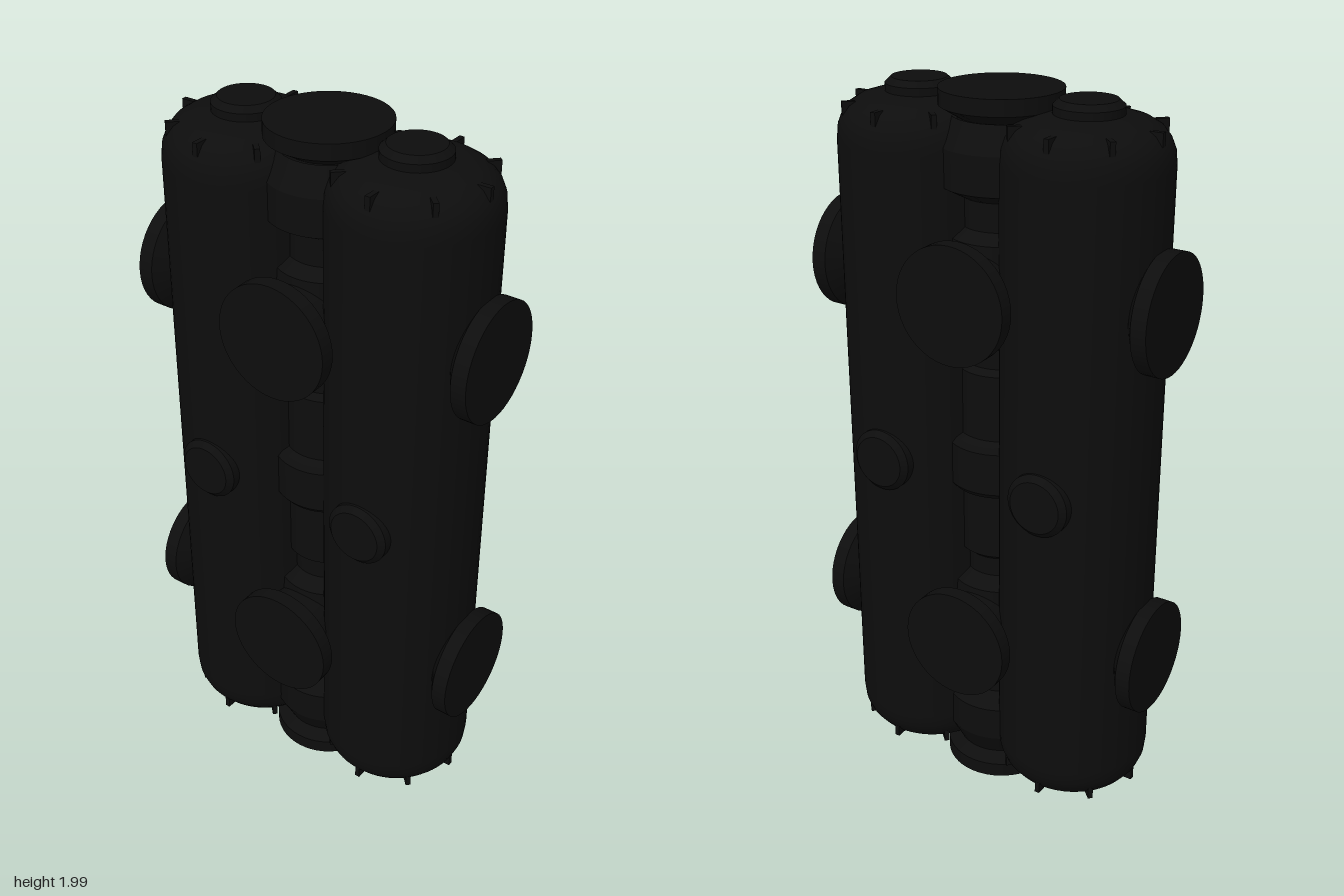
import * as THREE from 'three';

export function createModel() {
  const model = new THREE.Group();
  const black = new THREE.MeshStandardMaterial({ color: 0x0d0d0d });
  black.name = 'matte black';

  // Lathe with hard edges: every profile segment is its own smooth band
  function turned(name, bands, sides = 48) {
    const group = new THREE.Group();
    group.name = name;
    bands.forEach((pts) => {
      const geo = new THREE.LatheGeometry(pts.map(([r, y]) => new THREE.Vector2(r, y)), sides);
      const mesh = new THREE.Mesh(geo, black);
      mesh.name = name + 'Surface';
      group.add(mesh);
    });
    model.add(group);
    return group;
  }
  const segments = (pts) => pts.slice(1).map((p, i) => [pts[i], p]);

  // Aim a turned part's +y axis along a direction
  function place(part, position, direction) {
    part.position.set(...position);
    part.quaternion.setFromUnitVectors(new THREE.Vector3(0, 1, 0), new THREE.Vector3(...direction));
  }

  const mid = 1.003, hubs = [0.505, 1.502];
  const tankX = 0.246;

  // Docking port: flared collar and flat face, origin at the outer face
  const portProfile = segments([[0.11, -0.16], [0.112, -0.07], [0.158, -0.042], [0.158, 0], [0, 0]]);
  // Small hatch: chamfered disc
  const hatchProfile = segments([[0.088, -0.06], [0.088, -0.015], [0.072, 0], [0, 0]]);

  // Rounded end of a tank, as radius and distance from the middle
  const dome = [[0.215, 0.84], [0.211, 0.878], [0.2, 0.905], [0.182, 0.928],
    [0.155, 0.945], [0.12, 0.956], [0.06, 0.963], [0, 0.965]];

  for (const side of [-1, 1]) {
    const x = side * tankX;

    // Main pressure tank
    const lower = dome.map(([r, y]) => [r, -y]).reverse();
    const tank = turned('tank', [[...lower, ...dome]], 64);
    tank.position.set(x, mid, 0);

    // Hatches on the ends, front and back of the tank
    for (const s of [-1, 1]) {
      place(turned('endHatch', hatchProfile), [x, mid + s * 0.995, 0], [0, s, 0]);
      place(turned('sideHatch', hatchProfile), [x, mid, s * 0.236], [0, 0, s]);

      // Ring of small lugs on each dome shoulder
      for (let i = 0; i < 8; i++) {
        const a = (i * Math.PI) / 4;
        const lug = new THREE.Mesh(new THREE.BoxGeometry(0.035, 0.035, 0.014), black);
        lug.name = 'domeLug';
        lug.position.set(x + Math.cos(a) * 0.183, mid + s * 0.922, Math.sin(a) * 0.183);
        lug.rotation.y = -a;
        model.add(lug);
      }
    }

    // Outboard docking ports
    for (const y of hubs) place(turned('outerPort', portProfile), [side * 0.5, y, 0], [side, 0, 0]);
  }

  // Central spine: necks, tunnels and middle band
  const half = [[0.15, 0], [0.15, 0.06], [0.138, 0.075], [0.118, 0.085], [0.118, 0.27], [0.1, 0.285],
    [0.1, 0.34], [0.14, 0.37], [0.15, 0.5], [0.14, 0.63], [0.105, 0.655], [0.105, 0.73],
    [0.16, 0.76], [0.16, 0.86], [0.125, 0.93]];
  const spine = turned('spine', segments([...half.slice(1).map(([r, y]) => [r, -y]).reverse(), ...half]));
  spine.position.y = mid;

  for (const s of [-1, 1]) {
    // Ports on the two ends of the spine
    place(turned('endPort', portProfile), [0, mid + s * 0.997, 0], [0, s, 0]);
    // Ports on the front and back of both hubs
    for (const y of hubs) place(turned('hubPort', portProfile), [0, y, s * 0.248], [0, 0, s]);
  }

  // Spherical hubs behind the ports
  for (const y of hubs) {
    const hub = new THREE.Mesh(new THREE.SphereGeometry(0.165, 40, 24), black);
    hub.name = 'hub';
    hub.position.y = y;
    model.add(hub);
  }
  return model;
}
